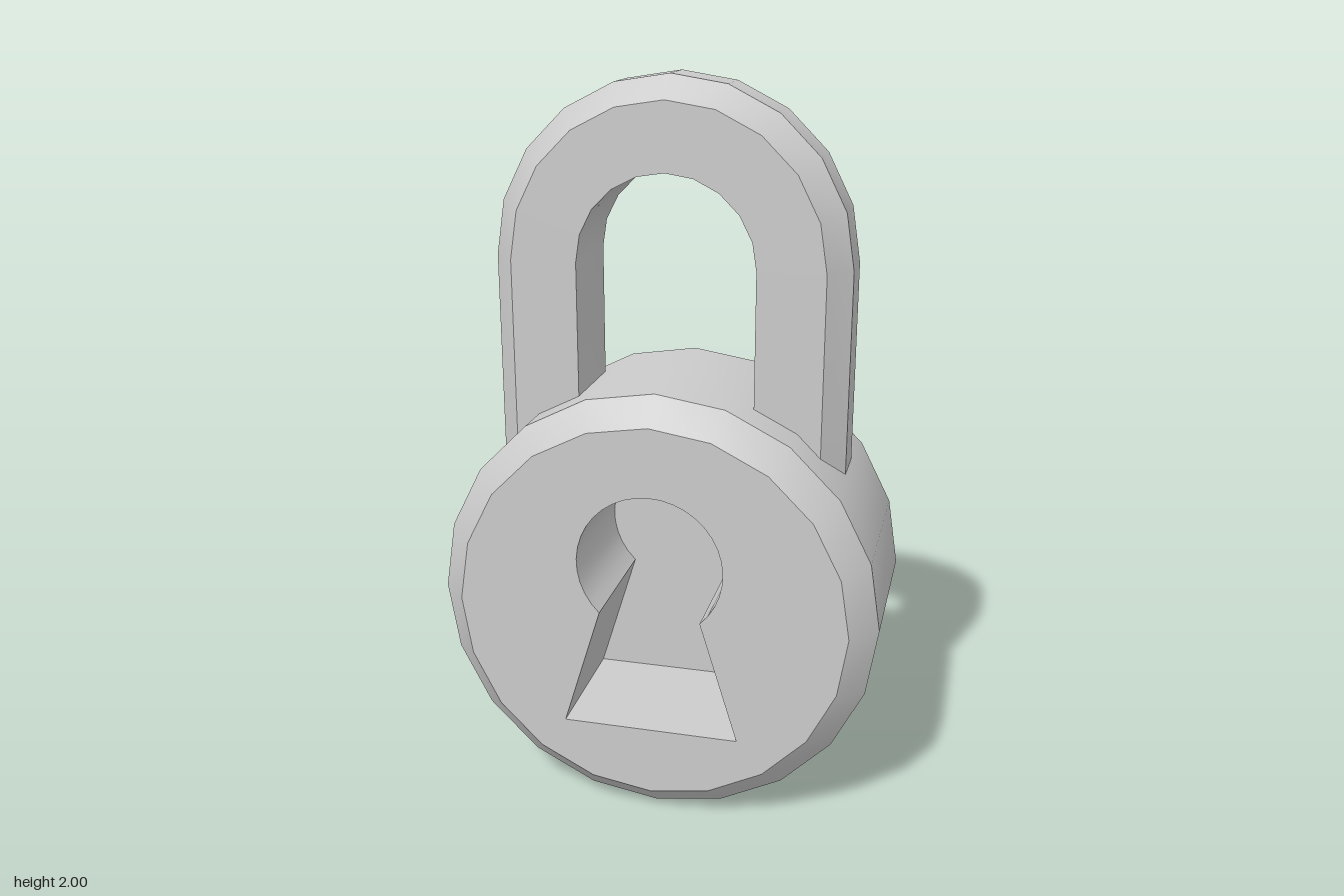
import * as THREE from 'three';
import { toCreasedNormals } from 'three/addons/utils/BufferGeometryUtils.js';

const CENTRE_Y = 0.606, RADIUS = 0.606, FACE_RADIUS = 0.535;
const FACE_Z = 0.304, RIM_Z = 0.233, FLOOR_Z = -0.06;
const SIDES = 20;

const material = new THREE.MeshStandardMaterial({ color: 0xcccccc });

function addMesh(group, name, geometry) {
  const mesh = new THREE.Mesh(toCreasedNormals(geometry, 0.6), material);
  mesh.name = name;
  group.add(mesh);
}

// Grid surface: place(column, row) gives the [x, y, z] of each vertex
function gridSurface(columns, rows, place) {
  const geometry = new THREE.PlaneGeometry(1, 1, columns - 1, rows - 1);
  const pos = geometry.attributes.position;
  for (let i = 0; i < pos.count; i++) {
    pos.setXYZ(i, ...place(i % columns, Math.floor(i / columns)));
  }
  return geometry;
}

// Keyhole outline, clockwise: round top on a flared slot
function keyholePoints() {
  const points = [new THREE.Vector2(0.243, 0.265), new THREE.Vector2(-0.243, 0.265)];
  const cy = 0.75, r = 0.2, steps = 28;
  const start = Math.PI * 1.256, end = -Math.PI * 0.256;
  for (let i = 0; i <= steps; i++) {
    const a = start + (end - start) * i / steps;
    points.push(new THREE.Vector2(r * Math.cos(a), cy + r * Math.sin(a)));
  }
  return points;
}

function createBody() {
  const body = new THREE.Group();
  body.name = 'body';

  // Chamfered drum, closed at the back and open at the front
  const profile = [
    [0, -FACE_Z], [FACE_RADIUS, -FACE_Z], [RADIUS, -RIM_Z], [RADIUS, RIM_Z], [FACE_RADIUS, FACE_Z],
  ].map(([r, z]) => new THREE.Vector2(r, z));
  const drum = new THREE.LatheGeometry(profile, SIDES).rotateX(Math.PI / 2).translate(0, CENTRE_Y, 0);
  addMesh(body, 'drum', drum);

  // Front face pierced by the keyhole
  const hole = keyholePoints();
  const disc = new THREE.Shape();
  for (let i = 0; i < SIDES; i++) {
    const a = i / SIDES * Math.PI * 2;
    const x = FACE_RADIUS * Math.cos(a), y = CENTRE_Y + FACE_RADIUS * Math.sin(a);
    if (i === 0) disc.moveTo(x, y);
    else disc.lineTo(x, y);
  }
  disc.closePath();
  disc.holes.push(new THREE.Path(hole));
  addMesh(body, 'frontFace', new THREE.ShapeGeometry(disc).translate(0, 0, FACE_Z));

  // Recess walls and floor
  const walls = gridSurface(hole.length + 1, 2, (column, row) => {
    const p = hole[column % hole.length];
    return [p.x, p.y, row === 0 ? FACE_Z : FLOOR_Z];
  });
  addMesh(body, 'keyholeWalls', walls);
  addMesh(body, 'keyholeFloor', new THREE.ShapeGeometry(new THREE.Shape(hole)).translate(0, 0, FLOOR_Z));
  return body;
}

// U-shaped bar: one section swept up a leg, over a half circle and down again
function createShackle() {
  const shackle = new THREE.Group();
  shackle.name = 'shackle';
  const section = [ // distance from the arch centre, z
    [0.24, 0.125], [0.42, 0.125], [0.48, 0.0625], [0.48, -0.0625],
    [0.42, -0.125], [0.24, -0.125], [0.24, 0.125],
  ];
  const archY = 1.52, legEndY = 0.92, arcSteps = 10;
  const bar = gridSurface(arcSteps + 3, section.length, (column, row) => {
    const [r, z] = section[row];
    const step = THREE.MathUtils.clamp(column - 1, 0, arcSteps);
    const a = step / arcSteps * Math.PI;
    const isLegEnd = column === 0 || column === arcSteps + 2;
    return [r * Math.cos(a), isLegEnd ? legEndY : archY + r * Math.sin(a), z];
  });
  addMesh(shackle, 'shackleBar', bar);
  return shackle;
}

export function createModel() {
  const model = new THREE.Group();
  model.name = 'padlock';
  model.add(createBody(), createShackle());
  return model;
}
